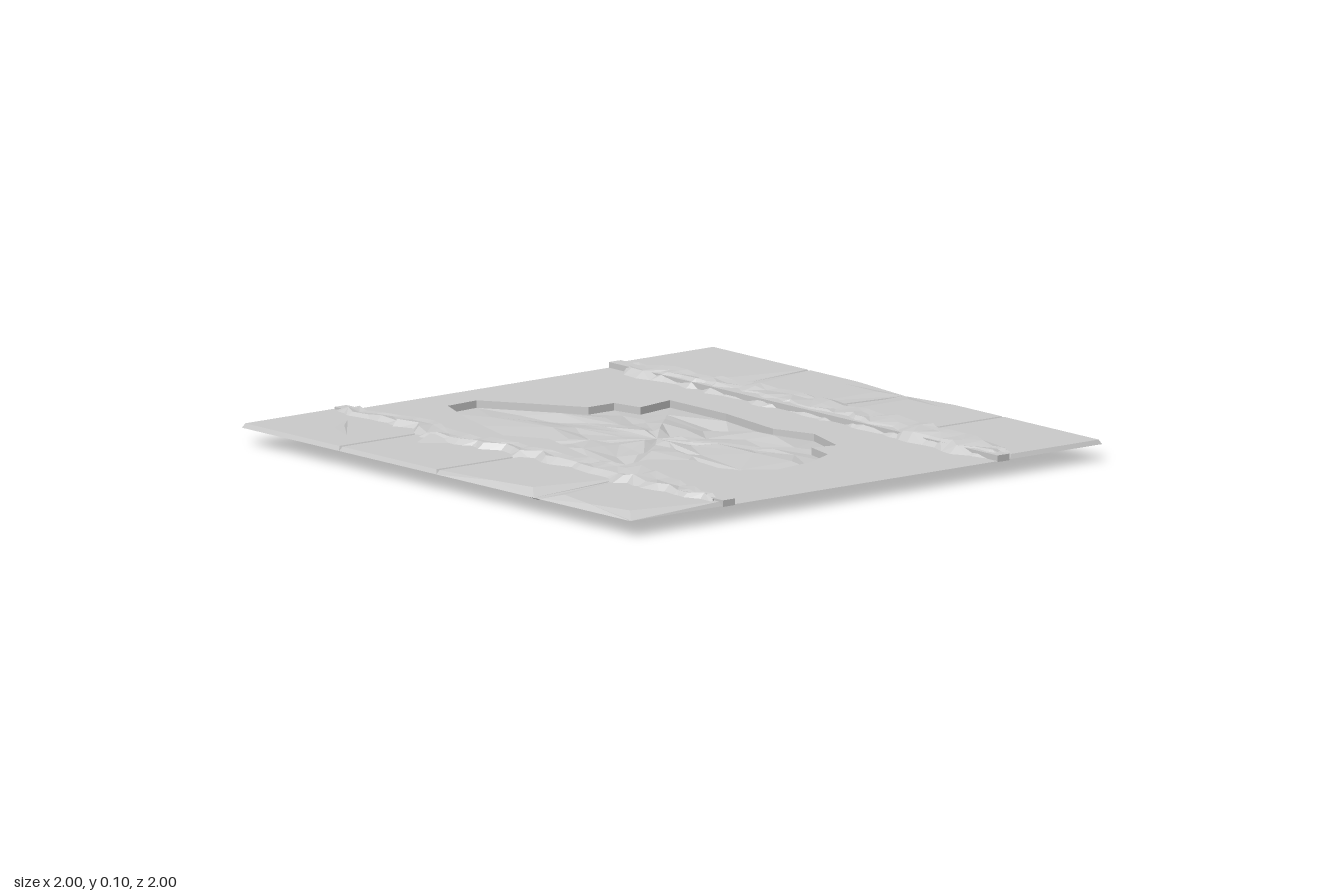
import * as THREE from 'three';

const mat = new THREE.MeshStandardMaterial({ color: 0xcccccc, flatShading: true, side: THREE.DoubleSide });
const ROAD = 0.055, WALK = 0.07;

// repeatable noise in -1..1
const noise = (n) => {
  const s = Math.sin(n * 127.1 + 11.7) * 43758.5453;
  return 2 * (s - Math.floor(s)) - 1;
};

// value at z on a polyline of [z, value] pairs
function along(pairs, z) {
  for (let i = 1; i < pairs.length; i++) {
    const [a, va] = pairs[i - 1], [b, vb] = pairs[i];
    if (z <= b) return va + (vb - va) * Math.max(0, (z - a) / (b - a));
  }
  return pairs[pairs.length - 1][1];
}

// surface joining rows of [x, y, z] points
function loft(name, rows, closed) {
  const n = rows[0].length, index = [];
  for (let r = 0; r < rows.length - 1; r++) {
    for (let i = 0; i < (closed ? n : n - 1); i++) {
      const j = (i + 1) % n, a = r * n + i, b = r * n + j, c = a + n, d = b + n;
      if ((r + i) % 2) index.push(a, c, b, b, c, d);
      else index.push(a, c, d, a, d, b);
    }
  }
  const geo = new THREE.BufferGeometry();
  geo.setAttribute('position', new THREE.Float32BufferAttribute(rows.flat(2), 3));
  geo.setIndex(index);
  geo.computeVertexNormals();
  const mesh = new THREE.Mesh(geo, mat);
  mesh.name = name;
  return mesh;
}

// pothole rim as [x, z], counter-clockwise seen from above
const rim = [
  [-0.25, -0.85], [-0.33, -0.66], [-0.42, -0.36], [-0.34, -0.22], [-0.39, -0.05], [-0.44, 0.13],
  [-0.42, 0.27], [-0.31, 0.25], [-0.2, 0.35], [-0.22, 0.51], [-0.16, 0.66], [0.08, 0.62],
  [0.2, 0.56], [0.23, 0.44], [0.32, 0.46], [0.38, 0.27], [0.33, 0.12], [0.37, -0.17],
  [0.37, -0.46], [0.22, -0.43], [0.2, -0.54], [0.09, -0.54], [-0.02, -0.71], [-0.12, -0.86],
];

function makeRoad() {
  const shape = new THREE.Shape([[-0.58, -1], [0.58, -1], [0.58, 1], [-0.58, 1]].map((p) => new THREE.Vector2(...p)));
  shape.holes.push(new THREE.Path(rim.map(([x, z]) => new THREE.Vector2(x, -z))));
  const geo = new THREE.ShapeGeometry(shape).rotateX(-Math.PI / 2).translate(0, ROAD, 0);
  const mesh = new THREE.Mesh(geo, mat);
  mesh.name = 'road';
  return mesh;
}

// short wall, then shrinking rings of rubble
function makePothole() {
  const cx = -0.03, cz = -0.04;
  const ring = (s, k) => rim.map(([x, z], i) => {
    const q = s * (1 + 0.11 * noise(i * 3 + k * 71));
    const px = cx + (x - cx) * q, pz = cz + (z - cz) * q;
    const dip = 0.035 * Math.max(0, 1 - Math.hypot(px - 0.31, pz + 0.08) / 0.14);
    return [px, Math.max(0, 0.037 + 0.012 * noise(i * 5 + k * 37) + 0.008 * (1 - s) - dip), pz];
  });
  const rows = [
    rim.map(([x, z]) => [x, ROAD, z]),
    rim.map(([x, z]) => [x, 0.03, z]),
    ring(0.8, 1), ring(0.6, 2), ring(0.4, 3), ring(0.2, 4),
    rim.map(() => [cx, 0.043, cz]),
  ];
  rows[2][17] = [0.31, 0, -0.08];
  return loft('pothole', rows, true);
}

// bevelled pavement slab; chips pull a top edge point in or down
function makeSlab(x0, x1, z0, z1, chips) {
  const xs = [x0, x1], b = 0.008;
  const bottom = [], top = [];
  const add = (x, z, tx, ty, tz) => { bottom.push([x, 0.055, z]); top.push([tx, ty, tz]); };
  const zm = (z0 + z1) / 2;
  const corner = (x, z) => {
    const c = chips.find((p) => p[0] === x && p[1] === z);
    add(x, z, x + (x === xs[0] ? b : -b), c ? c[3] : WALK, z + (z === z0 ? b : -b));
  };
  const middle = (x) => {
    const c = chips.find((p) => p[0] === x && p[1] === zm);
    add(x, zm, x + (x === xs[0] ? 1 : -1) * (c ? c[2] : b), WALK, zm);
  };
  corner(x0, z0); middle(x0); corner(x0, z1); corner(x1, z1); middle(x1); corner(x1, z0);
  const inner = top.map(([x, y, z]) => [(x0 + x1) / 2 + (x - (x0 + x1) / 2) * 0.7, WALK, zm + (z - zm) * 0.7]);
  const centre = top.map(() => [(x0 + x1) / 2, WALK, zm]);
  return loft('pavementSlab', [bottom, top, inner, centre], true);
}

function makePavement(side) {
  const group = new THREE.Group();
  group.name = side < 0 ? 'rightPavement' : 'leftPavement';
  const chips = side < 0
    ? [[-1, 0.25, 0.035, 0], [-1, 0.75, 0.03, 0], [-1, 0.5, 0, 0.05], [-1, 1, 0, 0.055]]
    : [[1, 0, 0, 0.06], [0.61, -0.5, 0, 0.06]];
  for (let i = 0; i < 4; i++) {
    const z = -1 + i * 0.5;
    const xs = side < 0 ? [-1, -0.61] : [0.61, 1];
    group.add(makeSlab(...xs, z, z + 0.5, chips.filter((c) => c[1] >= z && c[1] <= z + 0.5)));
  }
  const curb = new THREE.Mesh(new THREE.BoxGeometry(0.05, 0.022, 2), mat);
  curb.name = 'curb';
  curb.position.set(side * 0.582, 0.063, 0);
  group.add(curb);
  return group;
}

// lumpy heap lying over a curb, between its low-x and high-x edges
function makeHeap(name, low, high, crest, seed) {
  const rows = [], count = 34;
  for (let i = 0; i <= count; i++) {
    const end = i === 0 || i === count;
    const z = -0.985 + 1.965 * i / count + (end ? 0 : 0.014 * noise(i + seed));
    const a = along(low.x, z) + 0.028 * noise(i * 3 + seed), b = along(high.x, z) + 0.006 * noise(i * 7 + seed);
    const lift = along(crest, z) + 0.006 * noise(i * 11 + seed) - (end ? 0.01 : 0);
    const at = (t, y, k) => [a + (b - a) * (t + 0.07 * noise(i * 13 + k + seed)), y, z + 0.012 * noise(i * 17 + k + seed)];
    rows.push([
      [a, low.y + 0.008 * noise(i * 5 + seed), z],
      at(0.28, (low.y + lift) / 2 + 0.014 + 0.006 * noise(i * 19 + seed), 1),
      at(0.54, lift - 0.003, 2),
      at(0.75, lift, 3),
      [b, high.y + 0.006 * noise(i * 23 + seed), z],
    ]);
  }
  return loft(name, rows, false);
}

// loose flake lying on the pavement
function makeFlake(pts) {
  return loft('flake', [pts.slice(0, 2), pts.slice(2, 4)], false);
}

export function createModel() {
  const model = new THREE.Group();
  model.name = 'damagedRoad';
  model.add(makeRoad(), makePothole(), makePavement(-1), makePavement(1));

  model.add(makeHeap('rightHeap',
    { x: [[-1, -0.62], [-0.8, -0.67], [-0.6, -0.66], [-0.36, -0.72], [-0.2, -0.67], [0.3, -0.66], [0.7, -0.69], [0.98, -0.64]], y: 0.058 },
    { x: [[-1, -0.57], [-0.85, -0.53], [-0.7, -0.49], [-0.55, -0.5], [-0.38, -0.54], [0.2, -0.53], [0.35, -0.49],
      [0.5, -0.465], [0.65, -0.48], [0.72, -0.52], [0.9, -0.55], [0.98, -0.59]], y: 0.042 },
    [[-1, 0.078], [-0.6, 0.086], [0, 0.086], [0.5, 0.093], [0.98, 0.078]], 3));

  model.add(makeHeap('leftHeap',
    { x: [[-1, 0.57], [-0.88, 0.53], [-0.3, 0.53], [0, 0.54], [0.5, 0.53], [0.85, 0.52], [0.98, 0.56]], y: 0.048 },
    { x: [[-1, 0.63], [-0.8, 0.67], [-0.5, 0.69], [-0.35, 0.73], [-0.2, 0.76], [0, 0.74], [0.2, 0.73], [0.5, 0.71],
      [0.9, 0.69], [0.98, 0.65]], y: 0.062 },
    [[-1, 0.078], [-0.5, 0.084], [0.2, 0.084], [0.55, 0.09], [0.98, 0.076]], 59));

  model.add(
    makeFlake([[-0.7, 0.071, -0.82], [-0.78, 0.076, -0.74], [-0.82, 0.073, -0.74], [-0.86, 0.071, -0.63]]),
    makeFlake([[-0.76, 0.071, -0.39], [-0.68, 0.085, -0.42], [-0.71, 0.06, -0.26], [-0.64, 0.08, -0.35]]),
  );
  return model;
}
